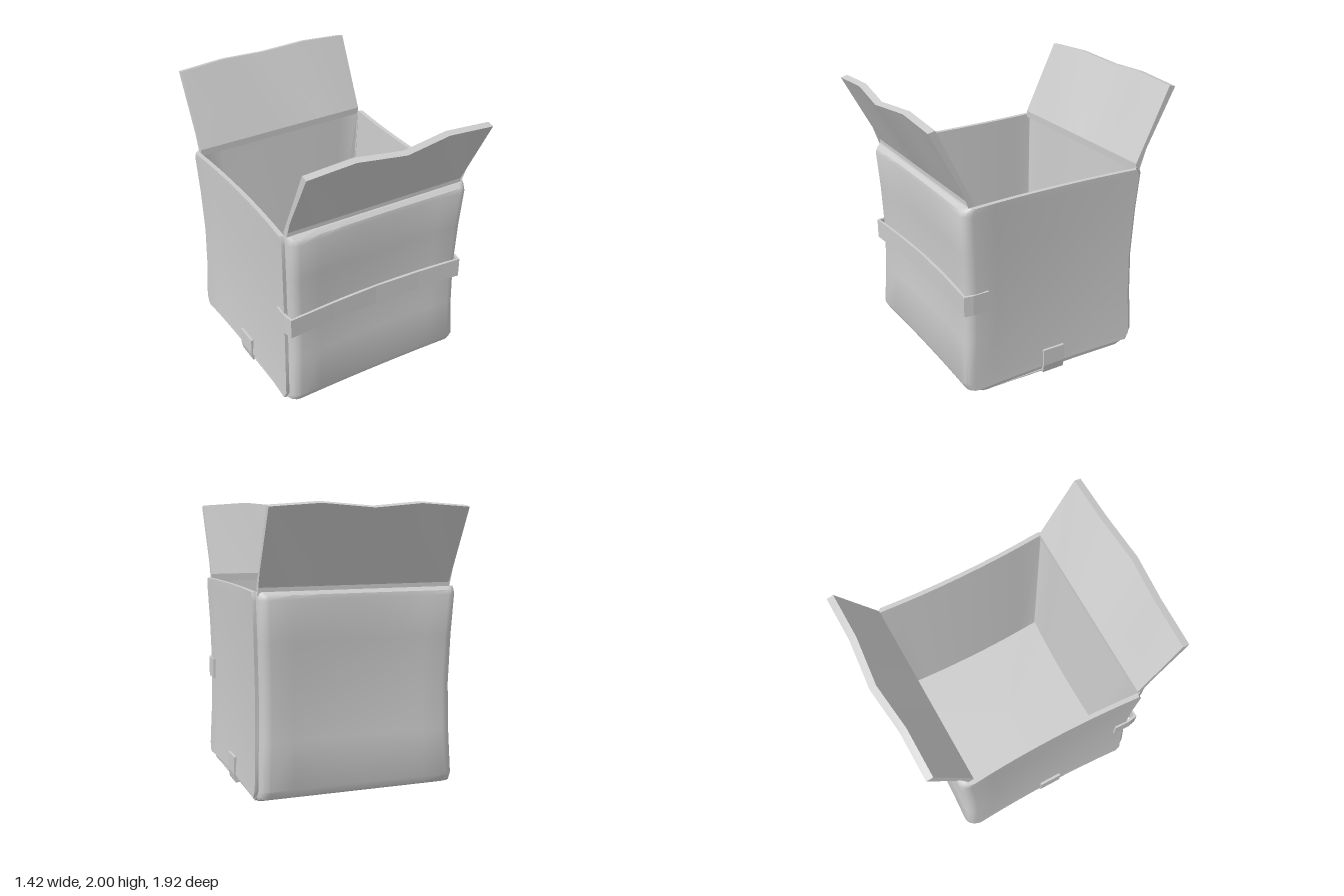
import * as THREE from 'three';
import { toCreasedNormals } from 'three/addons/utils/BufferGeometryUtils.js';

const material = new THREE.MeshStandardMaterial({ color: 0xcccccc, side: THREE.DoubleSide });

function part(name, geometry, parent) {
  const mesh = new THREE.Mesh(geometry, material);
  mesh.name = name;
  parent.add(mesh);
  return mesh;
}

// Skin equal-length closed rings and cap both ends
function loft(rings, crease = 0.6) {
  const n = rings[0].length;
  const pos = rings.flat(2);
  const index = [];
  for (let r = 0; r < rings.length - 1; r++) {
    for (let i = 0; i < n; i++) {
      const a = r * n + i, b = r * n + (i + 1) % n;
      index.push(a, b, b + n, a, b + n, a + n);
    }
  }
  const cap = (r, flip) => {
    const c = pos.length / 3;
    for (let k = 0; k < 3; k++) pos.push(rings[r].reduce((s, p) => s + p[k], 0) / n);
    for (let i = 0; i < n; i++) {
      const a = r * n + i, b = r * n + (i + 1) % n;
      index.push(c, flip ? b : a, flip ? a : b);
    }
  };
  cap(0, true);
  cap(rings.length - 1, false);
  const g = new THREE.BufferGeometry();
  g.setAttribute('position', new THREE.Float32BufferAttribute(pos, 3));
  g.setIndex(index);
  return toCreasedNormals(g, crease);
}

// Horizontal section of the carton: bowed sides, two rounded corners, two overlapped seams
function cartonRing([hx, hz, y, px, pz, r, step]) {
  const half = [], N = 8, A = 4;
  const cx = hx - r, cz = hz - r;
  for (let i = 0; i <= N; i++) {
    const t = 1 - 2 * i / N;
    half.push([hx - px * (1 - t * t), y, t * cz]);
  }
  for (let i = 0; i <= A; i++) {
    const a = i / A * Math.PI / 2;
    half.push([cx - step + r * Math.cos(a), y, -cz - r * Math.sin(a)]);
  }
  for (let i = 1; i <= N; i++) {
    const t = 1 - 2 * i / N;
    half.push([t * cx - step * (1 - i / N), y, -hz + pz * (1 - t * t)]);
  }
  for (let i = 1; i < A; i++) {
    const a = i / A * Math.PI / 2;
    half.push([-cx - r * Math.sin(a), y, -cz - r * Math.cos(a)]);
  }
  return [...half, ...half.map(([x, h, z]) => [-x, h, -z])];
}

// Lid flap with a wavy free edge, leaning outwards towards +z
function flapGeometry(skew) {
  const tops = [[-0.68, 1.977, 0.925], [-0.34, 2, 0.925], [0, 1.972, 0.96],
    [0.34, 2, 0.925], [0.68, 1.977, 0.925]];
  return loft(tops.map(([x, y, z]) => {
    const d = skew * x;
    return [[x, 1.41, 0.63 + d], [x, 1.46, 0.63 + d], [x, y, z - 0.048 + d],
      [x, y - 0.012, z + d], [x, 1.46, 0.66 + d], [x, 1.41, 0.66 + d]];
  }), 0.4);
}

// Tape: a thin band following a 2D path, extruded across its width
function tapeGeometry(outer, inner, width) {
  const shape = new THREE.Shape([...outer, ...inner.reverse()].map(p => new THREE.Vector2(...p)));
  return new THREE.ExtrudeGeometry(shape, { depth: width, bevelEnabled: false });
}

export function createModel() {
  const box = new THREE.Group();
  box.name = 'openCarton';

  // Outer skin from the base up, over the rim and down to the inner floor
  // half x, half z, y, bow x, bow z, corner radius, seam step
  const sections = [
    [0.68, 0.58, 0.035, 0.01, 0, 0.03, 0.01],
    [0.69, 0.68, 0.07, 0.015, 0.01, 0.06, 0.02],
    [0.71, 0.69, 0.075, 0.02, 0.01, 0.07, 0.025],
    [0.707, 0.72, 0.13, 0.022, 0.015, 0.07, 0.025],
    [0.695, 0.7, 0.45, 0.025, 0.025, 0.07, 0.025],
    [0.69, 0.692, 0.76, 0.025, 0.03, 0.07, 0.025],
    [0.698, 0.703, 1.1, 0.025, 0.025, 0.07, 0.025],
    [0.71, 0.72, 1.38, 0.025, 0.015, 0.07, 0.025],
    [0.711, 0.708, 1.41, 0.025, 0.008, 0.07, 0.025],
    [0.711, 0.675, 1.432, 0.025, 0, 0.05, 0.02],
    [0.68, 0.645, 1.432, 0.025, 0, 0.006, 0.003],
    [0.59, 0.585, 0.1, 0.02, 0.02, 0.006, 0.003]
  ];
  part('cartonBody', loft(sections.map(cartonRing)), box);

  // Lid flaps
  part('frontFlap', flapGeometry(0), box);
  part('backFlap', flapGeometry(-0.02), box).rotation.y = Math.PI;

  // Sagging bottom flap, its free edge forming the seam under the box
  const bottom = [-0.68, -0.34, 0, 0.34, 0.68].map(x => {
    const dip = 0.028 * Math.abs(x) / 0.68;
    return [[x, 0.037, 0.58], [x, dip, -0.01], [x, 0.04, -0.01]];
  });
  part('bottomFlap', loft(bottom, 0.3), box);

  // Tape across the front, wrapped round both corners
  const outer = [], inner = [];
  const halfOuter = [[0.7, 0.535], [0.702, 0.655], [0.69, 0.717], [0.35, 0.694]];
  const halfInner = [[0.68, 0.535], [0.683, 0.655], [0.675, 0.702], [0.35, 0.66]];
  for (const [list, pts, mid] of [[outer, halfOuter, 0.682], [inner, halfInner, 0.65]]) {
    list.push(...pts, [0, mid], ...pts.map(([x, z]) => [-x, z]).reverse());
  }
  const front = tapeGeometry(outer, inner, 0.145);
  front.rotateX(Math.PI / 2).translate(0, 0.815, 0);
  part('frontTape', front, box);

  // Short tapes folded under the two ends of the bottom seam
  for (const [name, turn] of [['leftSeamTape', 0], ['rightSeamTape', Math.PI]]) {
    const g = tapeGeometry(
      [[0.7, 0.205], [0.702, 0.08], [0.69, 0.02], [0.48, 0.008]],
      [[0.68, 0.205], [0.684, 0.08], [0.675, 0.035], [0.48, 0.022]], 0.17);
    g.translate(0, 0, turn ? -0.1 : -0.075);
    part(name, g, box).rotation.y = turn;
  }
  return box;
}
